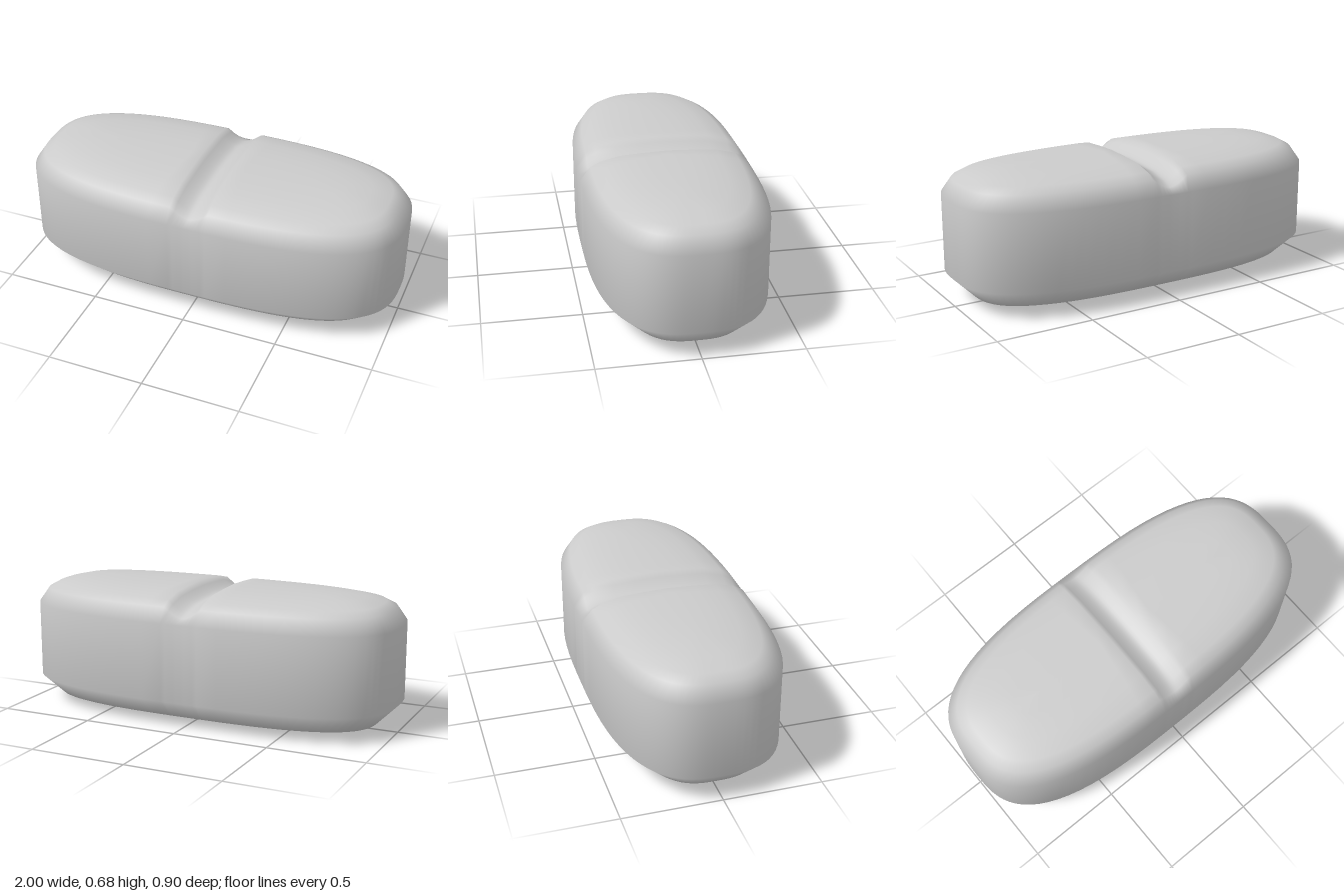
import * as THREE from 'three';
import { mergeVertices } from 'three/addons/utils/BufferGeometryUtils.js';

const HALF_X = 1, HALF_Z = 0.45, POWER = 2.9;
const GROOVE_HALF = 0.1, GROOVE_DEPTH = 0.057;

// Rings from bottom to top: [inset from the outline, height, groove strength]
const RINGS = [
  [0.45, 0, 0], [0.32, 0.008, 0], [0.2, 0.015, 0], [0.1, 0.04, 0], [0, 0.14, 0],
  [0, 0.54, 0], [0.05, 0.615, 0.9], [0.1, 0.643, 1], [0.2, 0.667, 1], [0.32, 0.675, 1], [0.45, 0.68, 1],
];

// One quarter of a rounded outline, from the front middle to the end tip
function quarter(a, b) {
  const xs = [0, 0.015, 0.03, 0.05, 0.075, GROOVE_HALF];
  const steps = 20;
  for (let i = 1; i <= steps; i++) {
    xs.push(GROOVE_HALF + (a - GROOVE_HALF) * (1 - Math.pow(1 - i / steps, 2.5)));
  }
  return xs.map(x => [x, b * Math.pow(Math.max(0, 1 - Math.pow(x / a, POWER)), 1 / POWER)]);
}

// Full closed outline by mirroring the quarter
function outline(a, b) {
  const q = quarter(a, b), back = q.slice().reverse();
  return [
    ...q.slice(0, -1),
    ...back.slice(0, -1).map(([x, z]) => [x, -z]),
    ...q.slice(0, -1).map(([x, z]) => [-x, -z]),
    ...back.slice(0, -1).map(([x, z]) => [-x, z]),
  ];
}

// Score line across the top
function grooveDrop(x) {
  const t = Math.min(1, Math.abs(x) / GROOVE_HALF);
  return GROOVE_DEPTH * (1 - Math.pow(t, 1.6));
}

function pillGeometry() {
  const positions = [], index = [];
  let count = 0;
  for (const [inset, y, groove] of RINGS) {
    const ring = outline(HALF_X - inset, HALF_Z - inset);
    count = ring.length;
    for (const [x, z] of ring) positions.push(x, y - groove * grooveDrop(x), z);
  }
  for (let i = 0; i < RINGS.length - 1; i++) {
    for (let j = 0; j < count; j++) {
      const k = (j + 1) % count;
      const a = i * count + j, b = i * count + k;
      index.push(a, b, b + count, a, b + count, a + count);
    }
  }
  const geometry = new THREE.BufferGeometry();
  geometry.setAttribute('position', new THREE.Float32BufferAttribute(positions, 3));
  geometry.setIndex(index);
  // Weld the middle seams so the shading stays smooth
  const welded = mergeVertices(geometry, 1e-4);
  welded.computeVertexNormals();
  return welded;
}

export function createModel() {
  const group = new THREE.Group();
  group.name = 'pill';
  const body = new THREE.Mesh(pillGeometry(), new THREE.MeshStandardMaterial({ color: 0xcccccc }));
  body.name = 'scoredTablet';
  group.add(body);
  return group;
}
